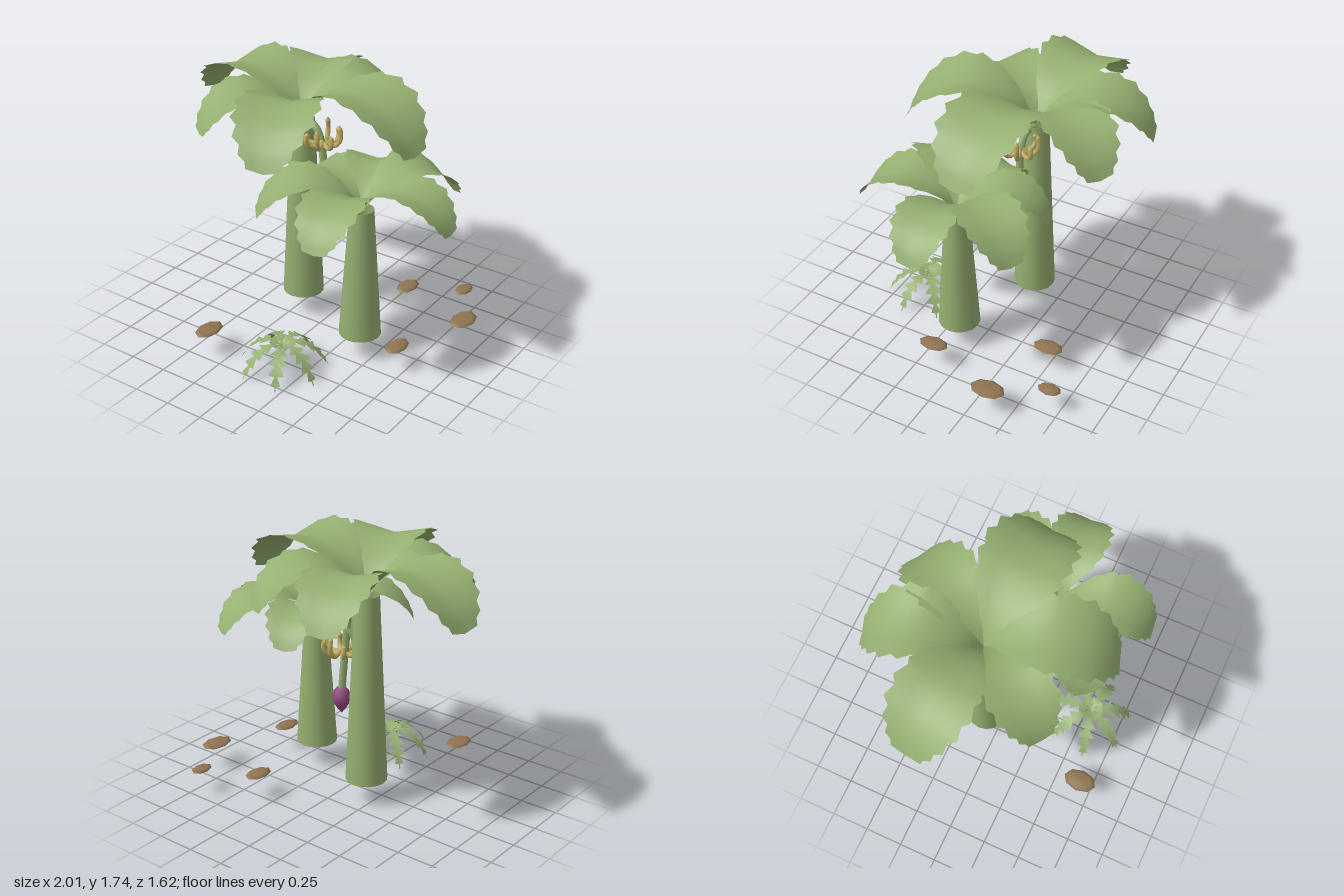
import * as THREE from 'three';

const mat = (name, color, side = THREE.FrontSide) => {
  const m = new THREE.MeshStandardMaterial({ color, side });
  m.name = name;
  return m;
};

// Blade along +x. Spine points are [reach, height, half width]; the edge teeth sweep to the tip.
function bladeGeometry(spine, rows, cols, notch, lift, sweep) {
  const curve = new THREE.CatmullRomCurve3(spine.map(p => new THREE.Vector3(...p)));
  const pos = [], index = [];
  for (let i = 0; i <= rows; i++) {
    const t = i / rows;
    const mid = curve.getPoint(t);
    const tooth = curve.getPoint(i % 2 ? t : Math.min(1, t + sweep));
    for (let j = 0; j <= cols; j++) {
      const s = (j / cols) * 2 - 1;
      const atEdge = Math.abs(s) === 1;
      const p = atEdge ? tooth : mid;
      const w = Math.max(mid.z, 0.002) * s * (atEdge && i % 2 ? notch : 1);
      pos.push(p.x, p.y + lift * Math.abs(w), w);
      if (i < rows && j < cols) {
        const a = i * (cols + 1) + j, c = a + cols + 1;
        index.push(a, a + 1, c, a + 1, c + 1, c);
      }
    }
  }
  const g = new THREE.BufferGeometry();
  g.setAttribute('position', new THREE.Float32BufferAttribute(pos, 3));
  g.setIndex(index);
  g.computeVertexNormals();
  return g;
}

export function createModel() {
  const model = new THREE.Group();
  model.name = 'bananaPlants';
  const green = mat('leafGreen', 0x94ae70, THREE.DoubleSide);
  const yellow = mat('bananaYellow', 0xc2ae62);
  const purple = mat('budPurple', 0x8f4a7c);
  const brown = mat('stoneBrown', 0x8f7350);

  const add = (parent, name, geometry, material, x = 0, y = 0, z = 0) => {
    const m = new THREE.Mesh(geometry, material);
    m.name = name;
    m.position.set(x, y, z);
    parent.add(m);
    return m;
  };

  // Tapered trunk with a crown of arching leaves; leaves are [degrees, reach]
  const leafGeo = bladeGeometry([
    [0, 0, 0.035], [0.12, 0.15, 0.11], [0.3, 0.265, 0.25], [0.52, 0.315, 0.325],
    [0.76, 0.245, 0.315], [0.92, 0.11, 0.23], [1, -0.02, 0.13],
  ], 18, 4, 0.87, 0.22, 0.02);
  const plant = (name, x, z, top, leaves) => {
    const g = new THREE.Group();
    g.name = name;
    g.position.set(x, 0, z);
    const height = top - 0.172;
    add(g, 'trunk', new THREE.CylinderGeometry(0.077, 0.136, height, 16, 1, true), green, 0, 0.172 + height / 2, 0);
    for (const [deg, reach] of leaves) {
      const leaf = add(g, 'leaf', leafGeo, green, 0, top, 0);
      leaf.rotation.y = -THREE.MathUtils.degToRad(deg);
      leaf.scale.setScalar(reach);
    }
    model.add(g);
  };
  plant('tallPlant', -0.2, -0.1, 1.42,
    [[5, 0.87], [71, 0.81], [125, 0.67], [189, 0.8], [253, 0.73], [301, 0.71]]);
  plant('shortPlant', 0.4, 0.13, 1.05,
    [[-3, 0.6], [83, 0.62], [140, 0.64], [195, 0.55], [250, 0.57], [300, 0.64]]);

  // Hanging fruit stalk
  const stalk = new THREE.CatmullRomCurve3([
    [-0.18, 1.39, -0.09], [-0.1, 1.4, -0.08], [-0.045, 1.32, -0.075],
    [-0.02, 1.12, -0.075], [0.02, 0.72, -0.075],
  ].map(p => new THREE.Vector3(...p)));
  add(model, 'fruitStalk', new THREE.TubeGeometry(stalk, 20, 0.024, 8), green);

  // Flower bud
  const budProfile = [[0, 0], [0.028, 0.035], [0.055, 0.08], [0.062, 0.11], [0.05, 0.152], [0.03, 0.178], [0, 0.182]];
  add(model, 'flowerBud', new THREE.LatheGeometry(budProfile.map(p => new THREE.Vector2(...p)), 10),
    purple, 0.022, 0.556, -0.075);

  // Rings of upturned bananas of alternating height
  const bananaCurve = new THREE.CatmullRomCurve3([
    [0.015, 0.03, 0], [0.06, 0.005, 0], [0.1, 0.02, 0], [0.118, 0.07, 0], [0.11, 0.12, 0],
  ].map(p => new THREE.Vector3(...p)));
  const bananaGeo = new THREE.TubeGeometry(bananaCurve, 7, 0.016, 6);
  const tipGeo = new THREE.ConeGeometry(0.016, 0.025, 6);
  for (const [x, y, turn] of [[-0.03, 1.28, 0.3], [0.018, 0.965, 0]]) {
    const hand = new THREE.Group();
    hand.name = 'bananaHand';
    hand.position.set(x, y, -0.075);
    for (let i = 0; i < 8; i++) {
      const banana = new THREE.Group();
      banana.name = 'banana';
      banana.rotation.y = turn + (i / 8) * Math.PI * 2;
      banana.scale.y = i % 2 ? 0.75 : 1.05;
      add(banana, 'bananaBody', bananaGeo, yellow);
      add(banana, 'bananaTip', tipGeo, yellow, 0.108, 0.131, 0).rotation.z = 0.2;
      hand.add(banana);
    }
    model.add(hand);
  }

  // Fern with deeply toothed drooping fronds
  const fern = new THREE.Group();
  fern.name = 'fern';
  fern.position.set(0.095, 0.165, 0.54);
  const frondGeo = bladeGeometry([
    [0, 0, 0.02], [0.08, 0.03, 0.05], [0.17, 0, 0.06], [0.24, -0.07, 0.042], [0.285, -0.15, 0.004],
  ], 12, 2, 0.25, 0.1, 0.07);
  for (let i = 0; i < 7; i++) {
    add(fern, 'frond', frondGeo, green).rotation.y = -1.12 - (i / 7) * Math.PI * 2;
  }
  model.add(fern);

  // Flat-bottomed stones: [x, z, width, depth]
  const stoneProfile = [[0, 0], [0.44, 0], [0.5, 0.3], [0.36, 0.8], [0, 1]];
  const stoneGeo = new THREE.LatheGeometry(stoneProfile.map(p => new THREE.Vector2(...p)), 8);
  for (const [x, z, w, d] of [
    [-0.39, 0.67, 0.145, 0.22], [0.37, -0.5, 0.13, 0.2], [0.88, -0.35, 0.155, 0.23],
    [0.7, -0.68, 0.105, 0.155], [0.69, 0.15, 0.125, 0.2],
  ]) {
    add(model, 'stone', stoneGeo, brown, x, 0.172, z).scale.set(w, 0.023, d);
  }
  return model;
}
